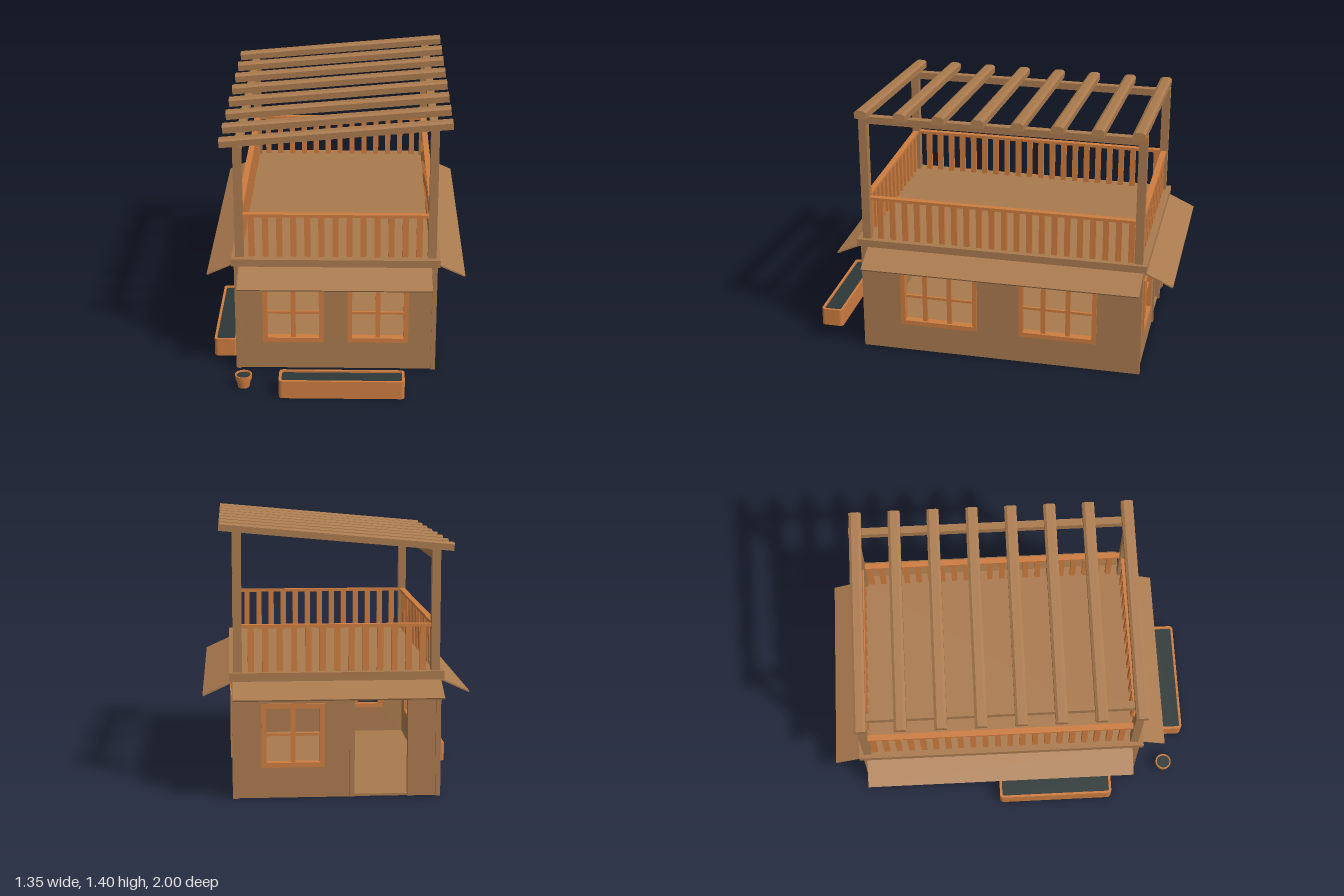
import * as THREE from 'three';

const material = (name, color) => {
  const m = new THREE.MeshStandardMaterial({ color });
  m.name = name;
  return m;
};

export function createModel() {
  const wood = material('brown wood', 0xaa7a4e);
  const orange = material('orange wood', 0xcd7c40);
  const soil = material('dark soil', 0x2e3838);
  const model = new THREE.Group();
  model.name = 'cabin';

  const add = (parent, name, geometry, mat) => {
    const mesh = new THREE.Mesh(geometry, mat);
    mesh.name = name;
    parent.add(mesh);
    return mesh;
  };
  // box given by its limits on each axis
  const box = (parent, name, mat, x0, x1, y0, y1, z0, z1) => {
    const mesh = add(parent, name, new THREE.BoxGeometry(x1 - x0, y1 - y0, z1 - z0), mat);
    mesh.position.set((x0 + x1) / 2, (y0 + y1) / 2, (z0 + z1) / 2);
    return mesh;
  };
  const rect = (x0, x1, y0, y1, Type = THREE.Shape) =>
    new Type([[x0, y0], [x1, y0], [x1, y1], [x0, y1]].map(p => new THREE.Vector2(...p)));
  const extrude = (shape, depth) => new THREE.ExtrudeGeometry(shape, { depth, bevelEnabled: false, curveSegments: 5 });

  // ---- House: four walls, each built facing +z and turned into place ----
  const house = new THREE.Group();
  house.name = 'house';
  house.position.z = -0.075;
  model.add(house);
  box(house, 'floor', wood, -0.52, 0.52, 0, 0.012, -0.75, 0.75);
  box(house, 'deck', wood, -0.543, 0.543, 0.61, 0.65, -0.783, 0.783);

  const T = 0.025, Y0 = 0.158, Y1 = 0.488;
  function addWindow(wall, cx, w, bars, outer) {
    const group = new THREE.Group();
    group.name = 'window';
    group.position.x = cx;
    wall.add(group);
    const h = w / 2, f = 0.025;
    const shape = rect(-h, h, Y0, Y1);
    shape.holes.push(rect(-h + f, h - f, Y0 + f, Y1 - f, THREE.Path));
    add(group, 'windowFrame', extrude(shape, 0.042), orange).position.z = outer - 0.034;
    for (const b of bars)
      box(group, 'uprightBar', orange, b - 0.0125, b + 0.0125, Y0 + f, Y1 - f, outer - 0.02, outer - 0.004);
    box(group, 'crossBar', orange, -h + f, h - f, 0.319, 0.333, outer - 0.018, outer - 0.006);
  }
  function addWall(name, angle, half, outer, windows, w, bars, door) {
    const wall = new THREE.Group();
    wall.name = name;
    wall.rotation.y = angle;
    house.add(wall);
    const shape = door === undefined
      ? rect(-half, half, 0, 0.61)
      : new THREE.Shape([[-half, 0], [door - 0.155, 0], [door - 0.155, 0.555], [door + 0.155, 0.555],
        [door + 0.155, 0], [half, 0], [half, 0.61], [-half, 0.61]].map(p => new THREE.Vector2(...p)));
    for (const cx of windows) {
      shape.holes.push(rect(cx - w / 2 + 0.01, cx + w / 2 - 0.01, Y0 + 0.01, Y1 - 0.01, THREE.Path));
      addWindow(wall, cx, w, bars, outer);
    }
    add(wall, 'wallPanel', extrude(shape, T), wood).position.z = outer - T;
    // door casing
    if (door !== undefined) {
      for (const s of [-1, 1]) {
        const c = door + s * 0.148;
        box(wall, 'doorJamb', wood, c - 0.0125, c + 0.0125, 0, 0.56, outer - 0.034, outer + 0.008);
      }
      box(wall, 'doorHead', wood, door - 0.16, door + 0.16, 0.54, 0.565, outer - 0.034, outer + 0.008);
    }
  }
  addWall('frontWall', 0, 0.505, 0.755, [-0.225, 0.2225], 0.322, [0]);
  addWall('backWall', Math.PI, 0.505, 0.755, [-0.2225], 0.322, [0], 0.226);
  addWall('leftWall', Math.PI / 2, 0.765, 0.53, [-0.3375, 0.315], 0.425, [-0.079, 0.056]);
  addWall('rightWall', -Math.PI / 2, 0.765, 0.53, [0.3375, -0.315], 0.425, [0.079, -0.056]);

  // ---- Sloping awnings on all four sides ----
  function addAwning(name, angle, reach, x0, x1) {
    const pivot = new THREE.Group();
    pivot.name = name;
    pivot.rotation.y = angle;
    house.add(pivot);
    const slab = box(pivot, 'awningSlab', wood, x0, x1, -0.004, 0.004, -0.08, 0.08);
    slab.position.set((x0 + x1) / 2, 0.569, reach + 0.073);
    slab.rotation.x = 0.43;
  }
  addAwning('frontAwning', 0, 0.765, -0.505, 0.5);
  addAwning('backAwning', Math.PI, 0.775, -0.527, 0.527);
  addAwning('leftAwning', Math.PI / 2, 0.53, -0.725, 0.765);
  addAwning('rightAwning', -Math.PI / 2, 0.53, -0.745, 0.725);

  // ---- Roof terrace posts, beams and railings ----
  const terrace = new THREE.Group();
  terrace.name = 'terrace';
  model.add(terrace);
  for (const [s, top] of [[-1, 1.262], [1, 1.355]]) {
    const a = s * 0.5;
    for (const z of [0.657, -0.812])
      box(terrace, 'post', wood, a - 0.022, a + 0.022, 0.65, top, z - 0.022, z + 0.022);
    box(terrace, 'beam', wood, a - 0.02, a + 0.02, top - 0.045, top - 0.006, -0.79, 0.635);
    box(terrace, 'sideRail', orange, a - 0.016, a + 0.016, 0.874, 0.89, -0.79, 0.635);
    for (let i = 0; i < 21; i++) {
      const z = 0.582 - i * 0.0676;
      box(terrace, 'baluster', orange, a - 0.01, a + 0.01, 0.65, 0.875, z - 0.0155, z + 0.0155);
    }
  }
  for (const z of [0.657, -0.812]) {
    box(terrace, 'endRail', orange, -0.478, 0.478, 0.874, 0.89, z - 0.016, z + 0.016);
    for (let i = 0; i < 13; i++) {
      const x = -0.437 + i * 0.0725;
      box(terrace, 'baluster', orange, x - 0.0155, x + 0.0155, 0.65, 0.875, z - 0.01, z + 0.01);
    }
  }

  // ---- Sloping rafters with chamfered top edges ----
  const profile = new THREE.Shape([[-0.032, -0.021], [0.032, -0.021], [0.032, 0.012],
    [0.018, 0.021], [-0.018, 0.021], [-0.032, 0.012]].map(p => new THREE.Vector2(...p)));
  const rafter = extrude(profile, 1.184).translate(0, 0, -0.592).rotateY(Math.PI / 2).rotateZ(0.0905);
  for (let i = 0; i < 8; i++)
    add(terrace, 'rafter', rafter, wood).position.set(0, 1.329, -0.797 + i * 0.206);

  // ---- Planter troughs with rounded corners ----
  const rounded = (w, d, r, Type) => {
    const s = new Type(), a = w / 2 - r, b = d / 2 - r;
    s.absarc(a, b, r, 0, Math.PI / 2);
    s.absarc(-a, b, r, Math.PI / 2, Math.PI);
    s.absarc(-a, -b, r, Math.PI, Math.PI * 1.5);
    s.absarc(a, -b, r, Math.PI * 1.5, Math.PI * 2);
    s.closePath();
    return s;
  };
  function addTrough(x, z, angle) {
    const trough = new THREE.Group();
    trough.name = 'trough';
    trough.position.set(x, 0, z);
    trough.rotation.y = angle;
    model.add(trough);
    const rim = rounded(0.65, 0.124, 0.02, THREE.Shape);
    rim.holes.push(rounded(0.622, 0.098, 0.012, THREE.Path));
    const flat = (shape, depth) => extrude(shape, depth).rotateX(-Math.PI / 2);
    add(trough, 'troughSides', flat(rim, 0.1), orange);
    add(trough, 'troughBase', flat(rounded(0.63, 0.104, 0.014, THREE.Shape), 0.01), orange);
    add(trough, 'troughSoil', flat(rounded(0.624, 0.1, 0.013, THREE.Shape), 0.008), soil).position.y = 0.082;
  }
  addTrough(0.036, 0.938, 0);
  addTrough(-0.598, 0.232, Math.PI / 2);

  // ---- Round flower pot ----
  const pot = new THREE.Group();
  pot.name = 'flowerPot';
  pot.position.set(-0.478, 0, 0.877);
  model.add(pot);
  const potProfile = [[0, 0], [0.031, 0], [0.031, 0], [0.038, 0.044], [0.038, 0.044], [0.043, 0.044], [0.043, 0.044],
    [0.045, 0.07], [0.045, 0.07], [0.038, 0.07], [0.038, 0.07], [0.036, 0.05]].map(p => new THREE.Vector2(...p));
  add(pot, 'potShell', new THREE.LatheGeometry(potProfile, 20), orange);
  add(pot, 'potSoil', new THREE.CylinderGeometry(0.0375, 0.037, 0.008, 20), soil).position.y = 0.058;

  return model;
}
